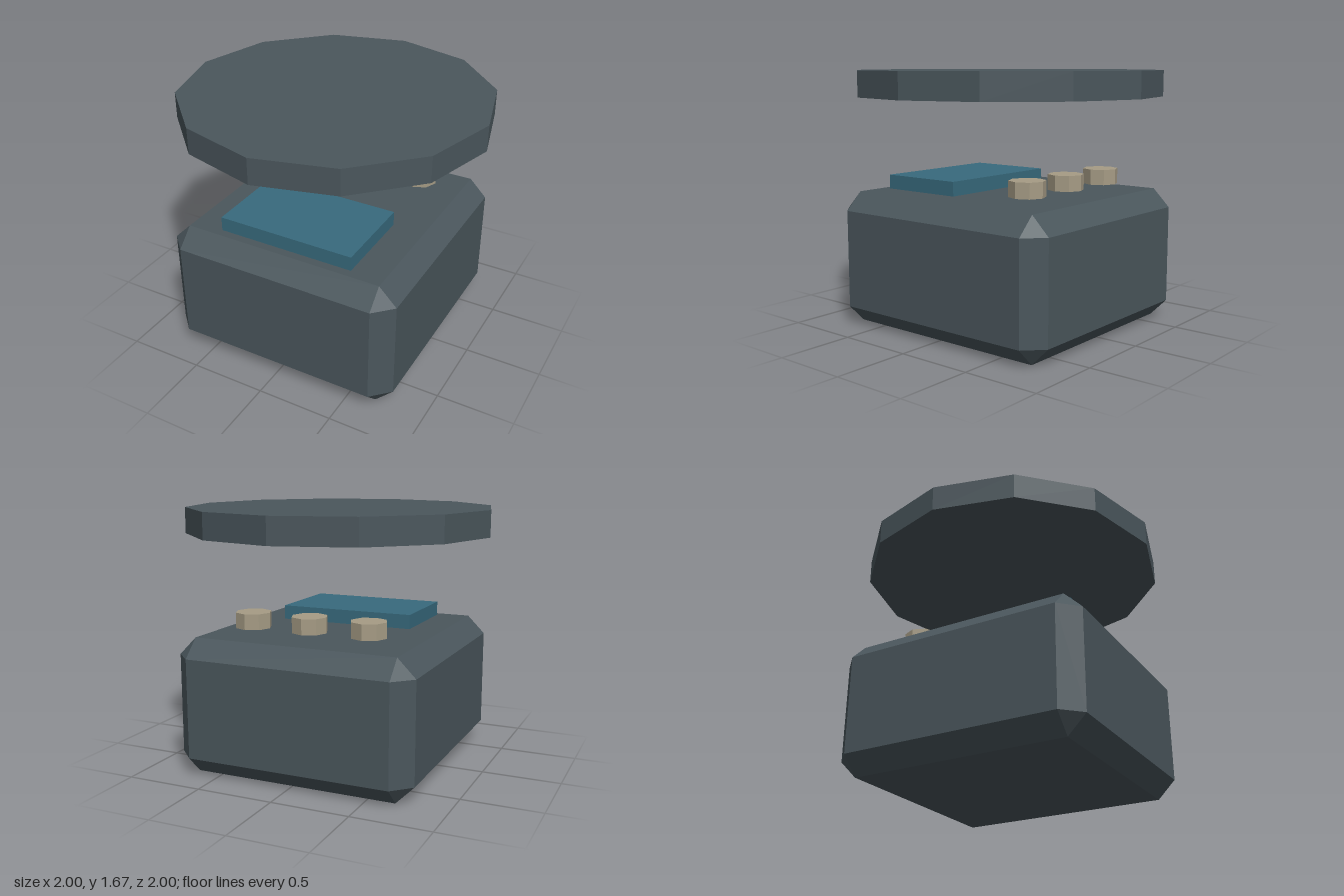
import * as THREE from 'three';
import { ConvexGeometry } from 'three/addons/geometries/ConvexGeometry.js';

// Box with flat bevels on every edge and triangular corners
function chamferedBox(w, h, d, c) {
  const points = [];
  for (const sx of [-1, 1]) for (const sy of [-1, 1]) for (const sz of [-1, 1]) {
    for (let full = 0; full < 3; full++) {
      const inset = [c, c, c];
      inset[full] = 0;
      points.push(new THREE.Vector3(
        sx * (w / 2 - inset[0]), sy * (h / 2 - inset[1]), sz * (d / 2 - inset[2])));
    }
  }
  return new ConvexGeometry(points);
}

export function createModel() {
  const model = new THREE.Group();
  model.name = 'device';
  const material = (color) => new THREE.MeshStandardMaterial({ color, flatShading: true });
  const dark = material(0x4a565c);
  const teal = material(0x386a7d);
  const beige = material(0xa69c85);

  const add = (name, geometry, mat, x, y, z) => {
    const mesh = new THREE.Mesh(geometry, mat);
    mesh.name = name;
    mesh.position.set(x, y, z);
    model.add(mesh);
  };

  // Bevelled housing
  add('body', chamferedBox(1.58, 0.876, 1.666, 0.117), dark, 0, 0.438, 0);

  // Raised panel on the front half of the top
  add('screen', new THREE.BoxGeometry(0.92, 0.11, 0.58), teal, 0, 0.915, 0.37);

  // Row of eight-sided knobs along the back, hovering just above the housing
  const knob = new THREE.CylinderGeometry(0.116, 0.116, 0.1, 8);
  ['rightKnob', 'middleKnob', 'leftKnob'].forEach((name, i) =>
    add(name, knob, beige, (i - 1) * 0.396, 0.97, -0.465));

  // Twelve-sided floating disc
  add('disc', new THREE.CylinderGeometry(1, 1, 0.167, 12), dark, 0, 1.586, 0);

  return model;
}
